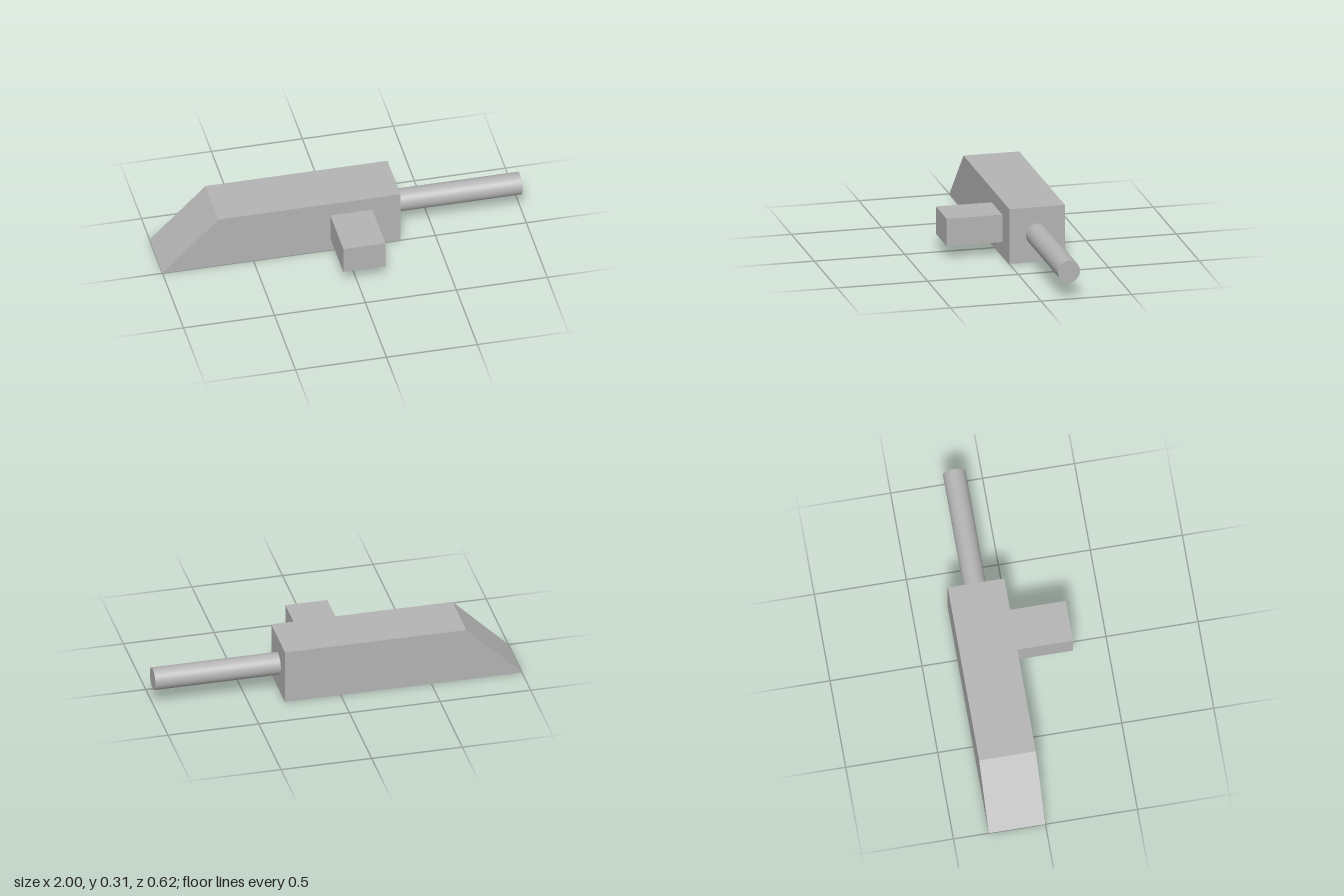
import * as THREE from 'three';

const S = 0.3077; // side of the square bolt section

export function createModel() {
  const group = new THREE.Group();
  const steel = new THREE.MeshStandardMaterial({ color: 0xb4b4b4 });
  steel.name = 'steel';

  const add = (name, geometry, x, y, z) => {
    const mesh = new THREE.Mesh(geometry, steel);
    mesh.name = name;
    mesh.position.set(x, y, z);
    group.add(mesh);
    return mesh;
  };

  // Square bar with one end cut at 45 degrees
  const profile = new THREE.Shape([
    new THREE.Vector2(-1, 0),
    new THREE.Vector2(S, 0),
    new THREE.Vector2(S, S),
    new THREE.Vector2(-1 + S, S),
  ]);
  add('boltBody', new THREE.ExtrudeGeometry(profile, { depth: S, bevelEnabled: false }), 0, 0, -S);

  // Round rod leaving the square end
  const rodLength = 1 - S;
  const rod = new THREE.CylinderGeometry(0.0615, 0.0615, rodLength, 48);
  rod.rotateZ(-Math.PI / 2);
  add('rod', rod, S + rodLength / 2, S / 2, -S / 2);

  // Rectangular handle block on the front face
  add('handle', new THREE.BoxGeometry(0.2308, 0.1538, S), 0.0385, S / 2, S / 2);

  return group;
}
